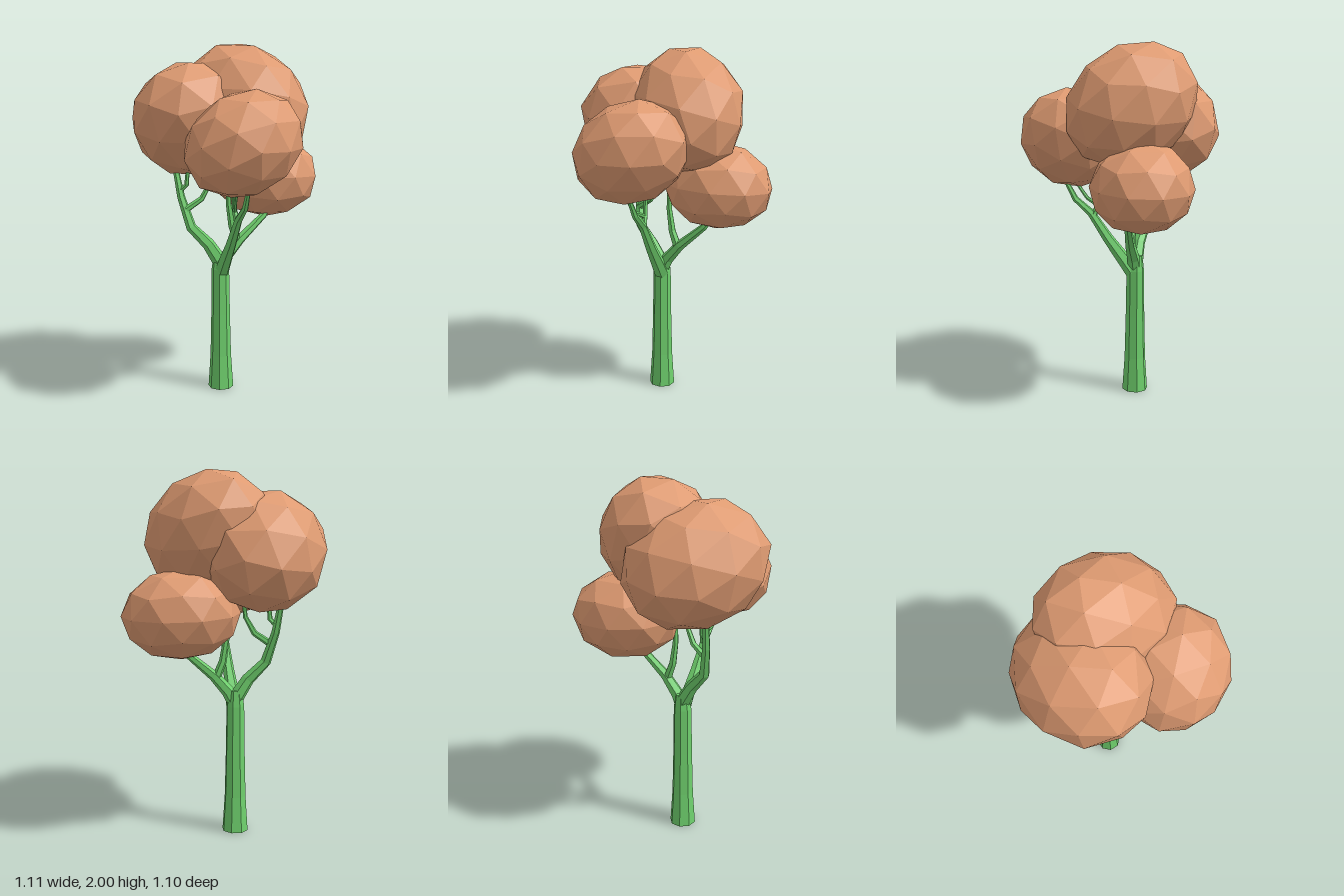
import * as THREE from 'three';

const bark = new THREE.MeshStandardMaterial({ color: 0x6fd06d, flatShading: true, side: THREE.DoubleSide });
const leaf = new THREE.MeshStandardMaterial({ color: 0xdf9b72, flatShading: true });
const UP = new THREE.Vector3(0, 1, 0);

// Tapered faceted limb through stations [x, y, z, radius], open below and capped at the tip
function limb(name, stations, sides = 6) {
  const pts = stations.map(([x, y, z]) => new THREE.Vector3(x, y, z));
  const positions = [], index = [], last = pts.length - 1;
  pts.forEach((p, i) => {
    const tangent = pts[Math.min(i + 1, last)].clone().sub(pts[Math.max(i - 1, 0)]).normalize();
    const turn = new THREE.Quaternion().setFromUnitVectors(UP, tangent);
    for (let s = 0; s < sides; s++) {
      const a = (s + 0.5) / sides * Math.PI * 2, r = stations[i][3];
      const v = new THREE.Vector3(Math.sin(a) * r, 0, Math.cos(a) * r).applyQuaternion(turn).add(p);
      positions.push(v.x, v.y, v.z);
      if (i < last) {
        const b = i * sides + s, c = i * sides + (s + 1) % sides;
        index.push(b, c, c + sides, b, c + sides, b + sides);
      }
    }
  });
  const tip = last * sides;
  for (let s = 1; s < sides - 1; s++) index.push(tip, tip + s, tip + s + 1);
  const geo = new THREE.BufferGeometry();
  geo.setAttribute('position', new THREE.Float32BufferAttribute(positions, 3));
  geo.setIndex(index);
  geo.computeVertexNormals();
  const mesh = new THREE.Mesh(geo, bark);
  mesh.name = name;
  return mesh;
}

// Faceted ellipsoid; its local x axis is laid along the given direction
function foliage(name, center, radii, axis, spin) {
  const geo = new THREE.IcosahedronGeometry(1, 1);
  geo.rotateX(spin).rotateY(spin * 1.7).scale(...radii);
  const turn = new THREE.Quaternion().setFromUnitVectors(
    new THREE.Vector3(1, 0, 0), new THREE.Vector3(...axis).normalize());
  geo.applyQuaternion(turn).translate(...center);
  const mesh = new THREE.Mesh(geo, leaf);
  mesh.name = name;
  return mesh;
}

export function createModel() {
  const tree = new THREE.Group();
  tree.name = 'tree';

  // Trunk, flared at the foot
  tree.add(limb('trunk', [
    [-0.07, 0, -0.103, 0.074], [-0.07, 0.2, -0.103, 0.061], [-0.07, 0.45, -0.103, 0.055],
    [-0.07, 0.72, -0.103, 0.051], [-0.07, 0.81, -0.108, 0.037]], 8));

  // Main branches and their twigs
  const branches = {
    rightBranch: [[-0.07, 0.76, -0.105, 0.044], [-0.14, 0.87, -0.11, 0.036],
      [-0.235, 0.97, -0.13, 0.03], [-0.28, 1.14, -0.18, 0.023], [-0.31, 1.36, -0.23, 0.015]],
    rightInnerTwig: [[-0.26, 1.07, -0.15, 0.02], [-0.17, 1.13, -0.14, 0.017], [-0.12, 1.22, -0.13, 0.013],
      [-0.11, 1.34, -0.13, 0.009]],
    rightOuterTwig: [[-0.29, 1.17, -0.19, 0.016], [-0.25, 1.21, -0.17, 0.014], [-0.24, 1.34, -0.16, 0.01]],
    leftBranch: [[-0.07, 0.73, -0.1, 0.042], [-0.03, 0.8, -0.1, 0.036],
      [0.05, 0.89, -0.1, 0.029], [0.2, 1.02, -0.12, 0.02], [0.24, 1.08, -0.13, 0.015]],
    leftTwig: [[0.04, 0.87, -0.1, 0.026], [0.0, 0.97, -0.1, 0.022], [-0.02, 1.1, -0.1, 0.017],
      [-0.02, 1.32, -0.1, 0.012]],
    frontBranch: [[-0.065, 0.71, -0.09, 0.044], [-0.06, 0.78, -0.04, 0.04], [-0.05, 0.9, 0.05, 0.031],
      [-0.04, 1.05, 0.15, 0.023], [-0.03, 1.13, 0.24, 0.018], [-0.03, 1.24, 0.3, 0.012]],
    frontTwig: [[-0.04, 1.03, 0.14, 0.02], [-0.05, 1.1, 0.11, 0.015], [-0.05, 1.24, 0.1, 0.01]],
    frontSideTwig: [[-0.05, 1.1, 0.12, 0.013], [-0.07, 1.13, 0.18, 0.011], [-0.08, 1.22, 0.25, 0.009]],
  };
  for (const [name, stations] of Object.entries(branches)) tree.add(limb(name, stations));

  // Four leafy clumps
  tree.add(
    foliage('topFoliage', [0.085, 1.67, -0.115], [0.395, 0.318, 0.32], [-0.5, 0.5, -0.65], 0.4),
    foliage('rightFoliage', [-0.215, 1.58, -0.185], [0.405, 0.31, 0.34], [-0.45, 0.32, 0.75], 0.9),
    foliage('frontFoliage', [-0.042, 1.475, 0.25], [0.334, 0.272, 0.305], [0.89, 0.45, 0], 1.5),
    foliage('leftFoliage', [0.235, 1.245, -0.205], [0.32, 0.245, 0.28], [1, -0.06, 0], 2.2));

  return tree;
}
